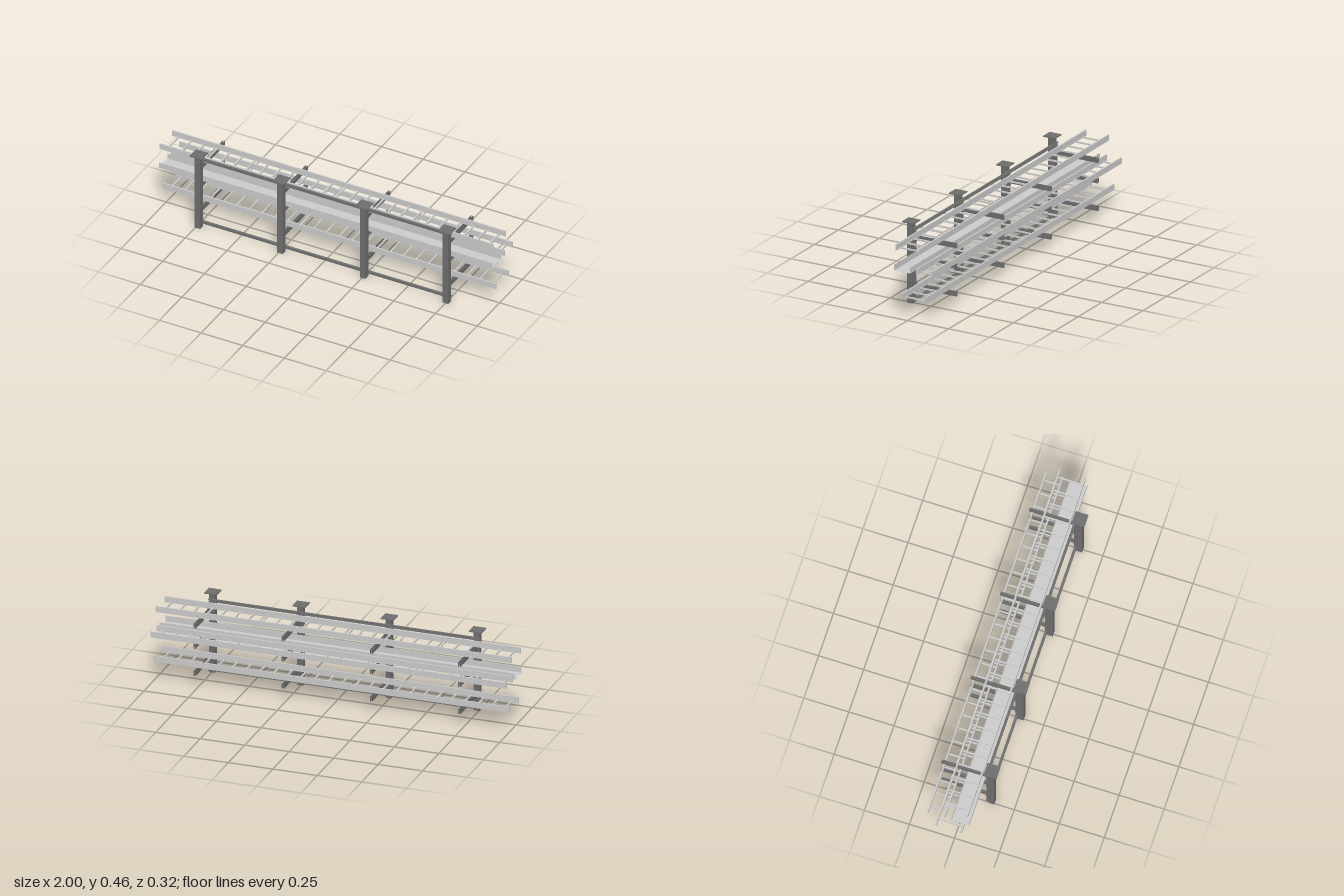
import * as THREE from 'three';

const STEEL = new THREE.MeshStandardMaterial({ color: 0x6e6e6e });
const TRAY = new THREE.MeshStandardMaterial({ color: 0xcccccc });
const SHEET = new THREE.MeshStandardMaterial({ color: 0xcccccc, side: THREE.DoubleSide });

// Box given by its minimum and maximum along each axis
function box(name, [x0, x1], [y0, y1], [z0, z1], material) {
  const mesh = new THREE.Mesh(new THREE.BoxGeometry(x1 - x0, y1 - y0, z1 - z0), material);
  mesh.position.set((x0 + x1) / 2, (y0 + y1) / 2, (z0 + z1) / 2);
  mesh.name = name;
  return mesh;
}

// Lipped C-channel running along z, open towards +y, centred on the origin
const S = 0.0135;
function strutGeometry(length) {
  const h = S / 2, t = 0.0012, lip = 0.0035, drop = 0.0025;
  const half = [[h, -h], [h, h], [h - lip, h], [h - lip, h - drop], [h - lip + t, h - drop],
    [h - lip + t, h - t], [h - t, h - t], [h - t, -h + t]];
  const mirrored = half.map(([x, y]) => [-x, y]).reverse();
  const shape = new THREE.Shape([...half, ...mirrored].map(([x, y]) => new THREE.Vector2(x, y)));
  const geometry = new THREE.ExtrudeGeometry(shape, { depth: length, bevelEnabled: false });
  return geometry.translate(0, 0, -length / 2);
}

function strut(name, geometry, x, y, z) {
  const mesh = new THREE.Mesh(geometry, STEEL);
  mesh.position.set(x, y, z);
  mesh.name = name;
  return mesh;
}

// Post with top plate, vertical strut and three cantilever arms
const ARM_TOPS = [0.382, 0.267, 0.111];
const ARM_H = 0.025;
function supportFrame(x) {
  const g = new THREE.Group();
  g.name = 'supportFrame';
  g.position.x = x;
  g.add(box('post', [-0.0165, 0.0165], [0, 0.455], [0.107, 0.14], STEEL));
  g.add(box('topPlate', [-0.036, 0.036], [0.455, 0.46], [0.087, 0.159], STEEL));
  g.add(strut('verticalStrut', strutGeometry(0.382).rotateX(-Math.PI / 2), 0, 0.219, 0.1002));

  const z0 = -0.157, z1 = 0.0905;
  for (const top of ARM_TOPS) {
    const mid = top - ARM_H / 2;
    // Two channels back to back make one arm
    for (const side of [1, -1]) {
      const geo = strutGeometry(z1 - z0).scale(1, ARM_H / 2 / S, 1);
      if (side < 0) geo.rotateZ(Math.PI);
      g.add(strut('arm', geo, 0, mid + side * ARM_H / 4, (z0 + z1) / 2));
    }
    g.add(box('armPlate', [-0.007, 0.007], [mid - 0.024, mid + 0.024], [z1, 0.0935], STEEL));
  }
  return g;
}

// Ladder tray: two side rails and evenly spaced rungs
function ladderTray(y, z0, z1) {
  const g = new THREE.Group();
  g.name = 'ladderTray';
  const t = 0.008, rungs = 26;
  g.add(box('sideRail', [-1, 1], [y, y + 0.033], [z0, z0 + t], TRAY));
  g.add(box('sideRail', [-1, 1], [y, y + 0.033], [z1 - t, z1], TRAY));
  for (let i = 0; i < rungs; i++) {
    const x = -1 + (i + 0.5) * 2 / rungs;
    g.add(box('rung', [x - 0.004, x + 0.004], [y, y + 0.008], [z0 + t, z1 - t], TRAY));
  }
  return g;
}

// Thin sheet trough with a floor and two upright sides
function troughTray(y, z0, z1) {
  const g = new THREE.Group();
  g.name = 'troughTray';
  const t = 0.001;
  g.add(box('troughFloor', [-1, 1], [y, y + t], [z0, z1], SHEET));
  g.add(box('troughSide', [-1, 1], [y + t, y + 0.033], [z0, z0 + t], SHEET));
  g.add(box('troughSide', [-1, 1], [y + t, y + 0.033], [z1 - t, z1], SHEET));
  return g;
}

export function createModel() {
  const model = new THREE.Group();
  model.name = 'cableTrayRack';

  // Four frames in a row
  const centre = 0.006, pitch = 0.496;
  for (let i = 0; i < 4; i++) model.add(supportFrame(centre + (i - 1.5) * pitch));

  // Horizontal tie rails joining the frames at top and bottom
  for (const y of [0.0215, 0.4165]) {
    const geo = strutGeometry(pitch * 3 + 0.03).rotateX(-Math.PI / 2).rotateZ(Math.PI / 2);
    model.add(strut('tieRail', geo, centre, y, 0.1002));
  }

  // Trays resting on the arms
  model.add(ladderTray(ARM_TOPS[0], -0.073, 0.075));
  model.add(troughTray(ARM_TOPS[1], -0.016, 0.082));
  model.add(ladderTray(ARM_TOPS[1], -0.15, -0.051));
  model.add(ladderTray(ARM_TOPS[2], -0.106, 0.041));
  return model;
}
